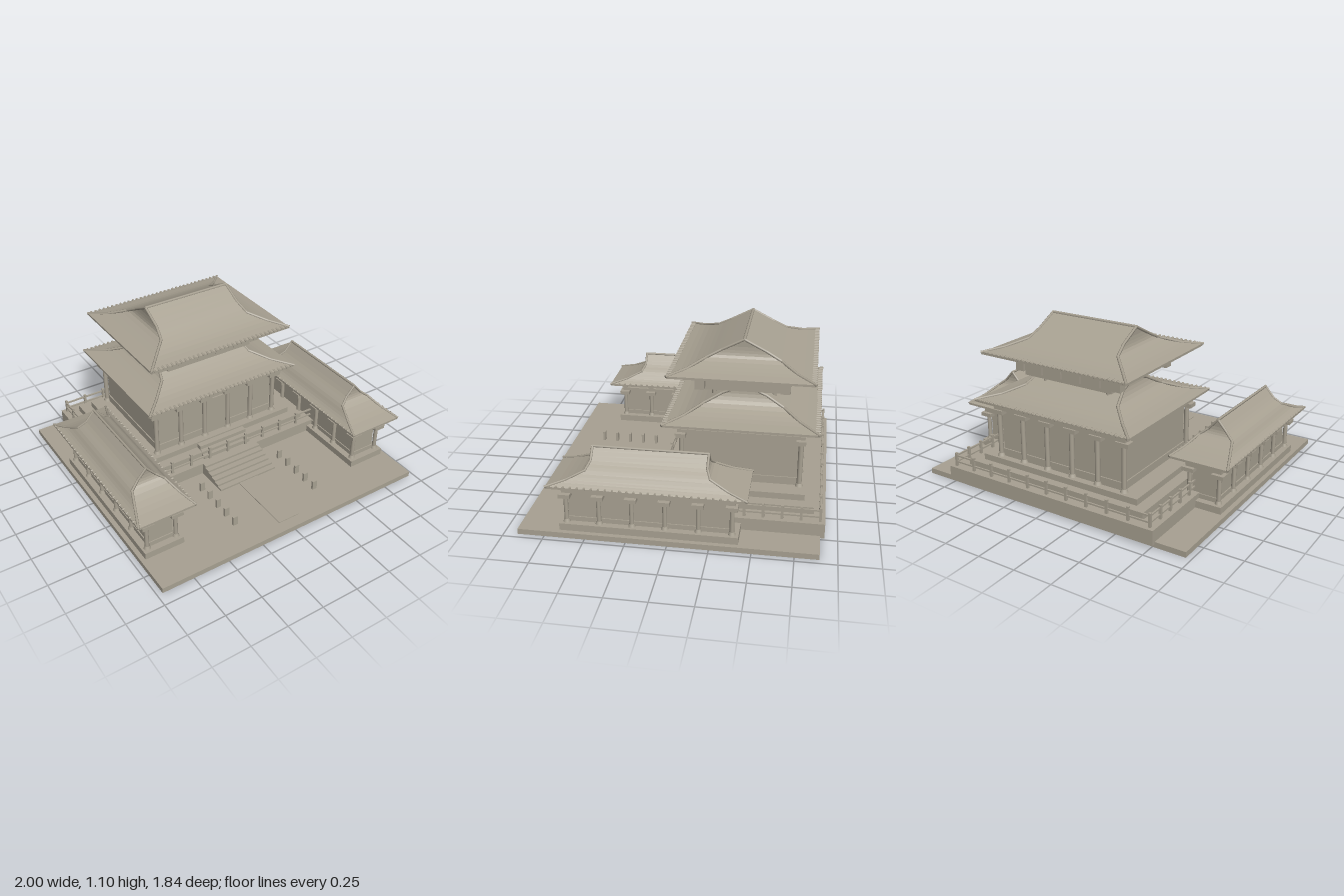
import * as THREE from 'three';

const stone = new THREE.MeshStandardMaterial({ color: 0xa8a192 });
stone.name = 'warm grey stone';

function add(parent, name, geo, x = 0, y = 0, z = 0) {
  const m = new THREE.Mesh(geo, stone);
  m.name = name;
  m.position.set(x, y, z);
  parent.add(m);
  return m;
}

// Box given by its limits on each axis
function block(parent, name, x0, x1, y0, y1, z0, z1) {
  return add(parent, name, new THREE.BoxGeometry(x1 - x0, y1 - y0, z1 - z0),
    (x0 + x1) / 2, (y0 + y1) / 2, (z0 + z1) / 2);
}

// Straight bar following a list of points
function bars(parent, name, pts, r) {
  for (let i = 0; i < pts.length - 1; i++) {
    const d = pts[i + 1].clone().sub(pts[i]);
    const m = add(parent, name, new THREE.CylinderGeometry(r, r, d.length() + r, 6));
    m.position.copy(pts[i]).addScaledVector(d, 0.5);
    m.quaternion.setFromUnitVectors(new THREE.Vector3(0, 1, 0), d.normalize());
  }
}

function spread(n, half) {
  return Array.from({ length: n }, (_, i) => -half + (2 * half * i) / (n - 1));
}

// Curved hip-and-gable roof from rectangular rings [halfX, halfZ, y], eave to ridge
function roof(parent, name, cx, cz, keys, tileAxis, tiles, r) {
  const g = new THREE.Group();
  g.name = name;
  g.position.set(cx, 0, cz);
  parent.add(g);
  const rings = [];
  keys.forEach((k, i) => {
    if (i === keys.length - 1) return rings.push(k);
    // two extra rings per step follow a smooth curve through the keys
    const v = j => new THREE.Vector3(...keys[Math.min(Math.max(j, 0), keys.length - 1)]);
    const c = new THREE.CatmullRomCurve3([v(i - 1), v(i), v(i + 1), v(i + 2)].filter(
      (p, j, a) => j === 0 || p.distanceTo(a[j - 1]) > 1e-6));
    const off = i === 0 ? 0 : 1, n = c.points.length - 1;
    for (let s = 0; s < 3; s++) rings.push(s ? c.getPoint((off + s / 3) / n).toArray() : k);
  });
  const [ex, ez, ey] = keys[0];
  const all = [[ex, ez, ey - 0.014], ...rings];
  const corner = ([hx, hz, y], i) =>
    [hx * [1, 1, -1, -1][i % 4], y, hz * [1, -1, -1, 1][i % 4]];
  const pos = [];
  const quad = (a, b, c, d) => pos.push(...a, ...b, ...c, ...a, ...c, ...d);
  for (let j = 0; j < all.length - 1; j++)
    for (let i = 0; i < 4; i++)
      quad(corner(all[j], i), corner(all[j], i + 1), corner(all[j + 1], i + 1), corner(all[j + 1], i));
  quad(corner(all[0], 3), corner(all[0], 2), corner(all[0], 1), corner(all[0], 0));
  const geo = new THREE.BufferGeometry();
  geo.setAttribute('position', new THREE.Float32BufferAttribute(pos, 3));
  geo.computeVertexNormals();
  add(g, 'roofShell', geo);

  // Ridge and hip mouldings
  const [rx, rz, ry] = keys[keys.length - 1];
  bars(g, 'ridge', [new THREE.Vector3(-rx, ry, -rz), new THREE.Vector3(rx, ry, rz)], r * 1.1);
  for (let i = 0; i < 4; i++)
    bars(g, 'hipRidge', keys.map(k => new THREE.Vector3(...corner(k, i))), r);

  // Round tile ends along the long eaves
  const alongX = tileAxis === 'x';
  const end = new THREE.CylinderGeometry(0.008, 0.008, 0.03, 8);
  if (alongX) end.rotateX(Math.PI / 2); else end.rotateZ(Math.PI / 2);
  for (const t of spread(tiles, (alongX ? ex : ez) - 0.025))
    for (const s of [-1, 1])
      add(g, 'tileEnd', end, alongX ? t : s * (ex - 0.01), ey, alongX ? s * (ez - 0.01) : t);
}

function column(parent, x, z, y0, y1, r) {
  add(parent, 'column', new THREE.CylinderGeometry(r, r, y1 - y0, 12), x, (y0 + y1) / 2, z);
  add(parent, 'columnBase', new THREE.CylinderGeometry(r * 1.1, r * 1.6, 0.02, 12), x, y0 + 0.01, z);
}

function sideHall(side) {
  const g = new THREE.Group();
  g.name = side > 0 ? 'leftHall' : 'rightHall';
  g.position.set(side * 0.8, 0, 0.12);
  block(g, 'hallPlinth', -0.135, 0.135, 0.03, 0.08, -0.54, 0.54);
  block(g, 'hallWall', -0.085, 0.085, 0.08, 0.35, -0.49, 0.49);
  block(g, 'hallSill', -0.092, 0.092, 0.08, 0.11, -0.497, 0.497);
  for (const x of [-0.1, 0.1])
    for (const z of spread(6, 0.5)) {
      column(g, x, z, 0.08, 0.27, 0.014);
      block(g, 'bracket', x - 0.04, x + 0.04, 0.255, 0.28, z - 0.035, z + 0.035);
      block(g, 'upperBracket', x - 0.03, x + 0.03, 0.31, 0.345, z - 0.02, z + 0.02);
    }
  block(g, 'beam', -0.12, 0.12, 0.285, 0.305, -0.52, 0.52);
  block(g, 'eaveBeam', -0.135, 0.135, 0.32, 0.335, -0.535, 0.535);
  roof(g, 'hallRoof', 0, 0, [[0.192, 0.592, 0.358], [0.15, 0.48, 0.39], [0.11, 0.37, 0.44],
    [0.06, 0.347, 0.48], [0, 0.347, 0.548]], 'z', 28, 0.008);
  return g;
}

function railing(parent) {
  const g = new THREE.Group();
  g.name = 'railing';
  parent.add(g);
  const post = (x, z) => block(g, 'railPost', x - 0.008, x + 0.008, 0.11, 0.205, z - 0.008, z + 0.008);
  const X = 0.73, back = -0.89, front = 0.135;
  for (const x of spread(11, X)) { post(x, back); if (Math.abs(x) < 0.6) post(x, front); }
  for (let i = 1; i < 9; i++)
    for (const s of [-1, 1]) post(s * X, back + (front - back) * i / 9);
  for (const y of [0.14, 0.182]) {
    block(g, 'rail', -X, X, y, y + 0.01, back - 0.005, back + 0.005);
    block(g, 'rail', -X, X, y, y + 0.01, front - 0.005, front + 0.005);
    for (const s of [-1, 1])
      block(g, 'rail', s * X - 0.005, s * X + 0.005, y, y + 0.01, back, front);
  }
}

export function createModel() {
  const model = new THREE.Group();
  model.name = 'palaceCourt';

  // Ground slab and stepped terrace
  block(model, 'groundSlab', -0.965, 0.965, 0, 0.035, -0.895, 0.915);
  block(model, 'lowerTerrace', -0.765, 0.765, 0.02, 0.115, -0.92, 0.165);
  block(model, 'middleTerrace', -0.655, 0.655, 0.115, 0.16, -0.85, 0.1);
  block(model, 'upperTerrace', -0.58, 0.58, 0.16, 0.2, -0.79, 0.04);
  railing(model);

  // Stairs, paved path and small posts
  for (let i = 0; i < 6; i++)
    block(model, 'step', -0.22, 0.22, 0.03, 0.115 - i * 0.0135, 0.16, 0.2 + i * 0.038);
  for (let i = 0; i < 3; i++)
    block(model, 'upperStep', -0.185, 0.185, 0.11, 0.19 - i * 0.025, 0.03, 0.08 + i * 0.025);
  block(model, 'path', -0.075, 0.075, 0.03, 0.04, 0.38, 0.84);
  for (const x of [-0.315, 0.315])
    for (let i = 0; i < 5; i++)
      block(model, 'courtPost', x - 0.017, x + 0.017, 0.03, 0.1, 0.302 + i * 0.0965, 0.318 + i * 0.0965);

  // Main hall body
  const hall = new THREE.Group();
  hall.name = 'mainHall';
  hall.position.z = -0.38;
  model.add(hall);
  block(hall, 'wall', -0.455, 0.455, 0.2, 0.58, -0.355, 0.355);
  block(hall, 'sill', -0.462, 0.462, 0.2, 0.25, -0.363, 0.363);
  block(hall, 'door', -0.075, 0.075, 0.2, 0.475, 0.355, 0.366);
  for (const x of spread(6, 0.468))
    for (const z of [-0.37, 0.37]) {
      column(hall, x, z, 0.2, 0.51, 0.016);
      block(hall, 'bracket', x - 0.045, x + 0.045, 0.495, 0.522, z - 0.03, z + 0.03);
      block(hall, 'upperBracket', x - 0.025, x + 0.025, 0.55, 0.58, z - 0.045, z + 0.045);
    }
  block(hall, 'beam', -0.49, 0.49, 0.525, 0.545, -0.395, 0.395);
  block(hall, 'eaveBeam', -0.505, 0.505, 0.555, 0.572, -0.41, 0.41);
  roof(hall, 'lowerRoof', 0, 0, [[0.565, 0.478, 0.598], [0.45, 0.36, 0.622], [0.345, 0.25, 0.67],
    [0.312, 0.14, 0.73], [0.31, 0, 0.79]], 'x', 34, 0.009);

  // Upper storey
  const upper = new THREE.Group();
  upper.name = 'upperStorey';
  upper.position.z = -0.373;
  model.add(upper);
  block(upper, 'upperWall', -0.32, 0.32, 0.75, 0.87, -0.285, 0.285);
  for (const x of [-0.235, 0.235])
    for (const z of [-0.19, 0.19]) column(upper, x, z, 0.67, 0.89, 0.013);
  for (const x of spread(6, 0.355))
    for (const z of [-0.265, 0.265]) {
      block(upper, 'windowBlock', x - 0.03, x + 0.03, 0.772, 0.848, z - 0.03, z + 0.03);
      block(upper, 'eaveBracket', x - 0.03, x + 0.03, 0.865, 0.895, z - 0.02, z + 0.02);
    }
  roof(upper, 'upperRoof', 0, 0, [[0.525, 0.445, 0.903], [0.43, 0.335, 0.925], [0.33, 0.23, 0.968],
    [0.311, 0.14, 1.015], [0.31, 0, 1.087]], 'x', 32, 0.009);

  model.add(sideHall(1), sideHall(-1));
  return model;
}
